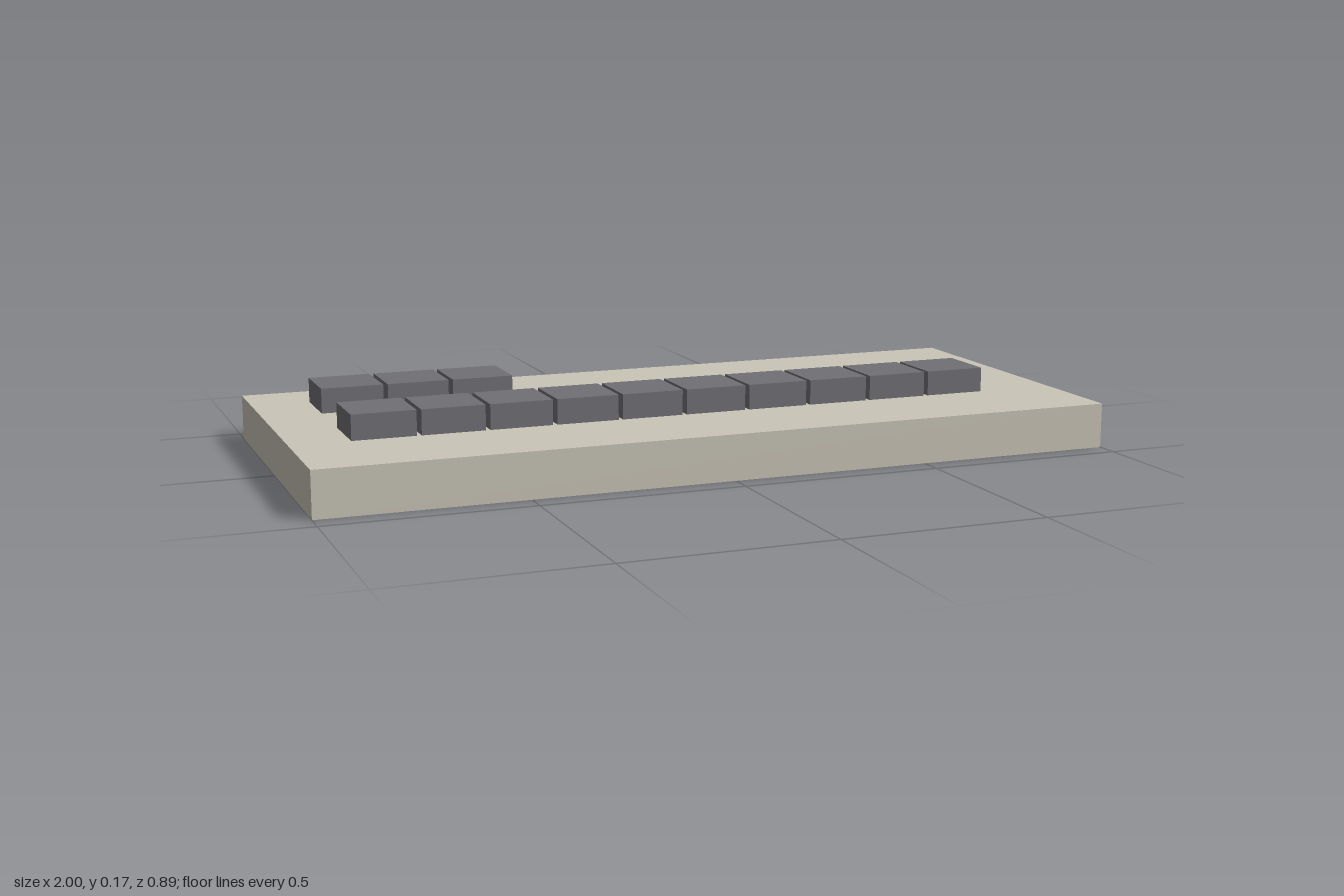
import * as THREE from 'three';

export function createModel() {
  const model = new THREE.Group();
  const stone = new THREE.MeshStandardMaterial({ color: 0xc9c5b8 });
  stone.name = 'pale stone';
  const slate = new THREE.MeshStandardMaterial({ color: 0x717075 });
  slate.name = 'slate grey';

  // base slab
  const slabHeight = 0.112;
  const slab = new THREE.Mesh(new THREE.BoxGeometry(2, slabHeight, 0.886), stone);
  slab.name = 'baseSlab';
  slab.position.y = slabHeight / 2;
  model.add(slab);

  // rows of square blocks, both starting at the same x
  const size = 0.155, height = 0.062, pitch = 0.1663, firstX = -0.777;
  const blockGeometry = new THREE.BoxGeometry(size, height, size);

  function addRow(name, count, z) {
    const row = new THREE.Group();
    row.name = name;
    for (let i = 0; i < count; i++) {
      const block = new THREE.Mesh(blockGeometry, slate);
      block.name = 'block' + (i + 1);
      block.position.set(firstX + i * pitch, slabHeight + height / 2, z);
      row.add(block);
    }
    model.add(row);
  }

  addRow('frontBlockRow', 10, 0.112);
  addRow('backBlockRow', 3, -0.222);

  return model;
}
